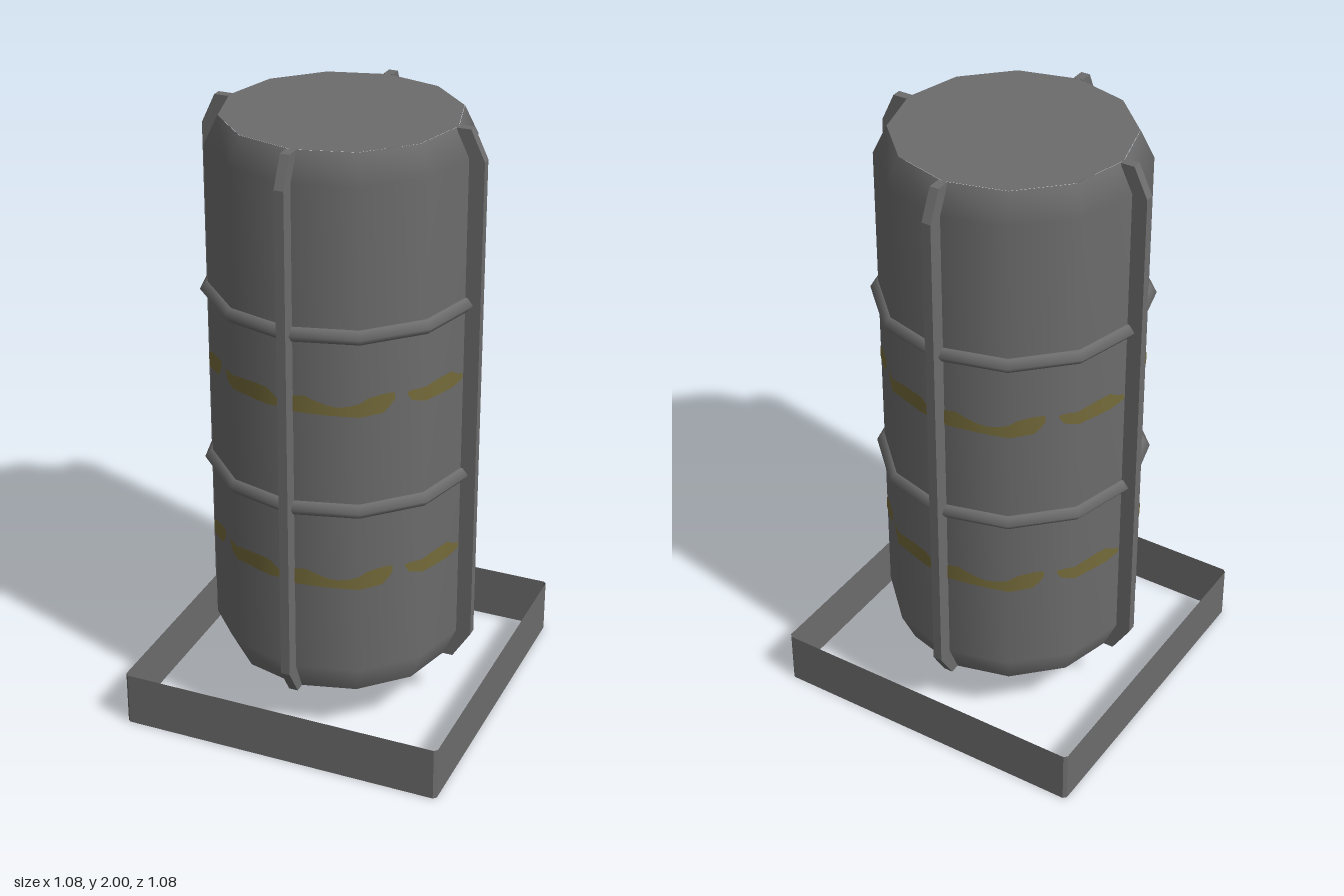
import * as THREE from 'three';

const SIDES = 12, BODY_R = 0.415;

// Distance from the axis to the wall of the twelve-sided drum
function wallRadius(deg) {
  const step = 360 / SIDES;
  const a = (((deg % step) + step) % step) - step / 2;
  return BODY_R * Math.cos(Math.PI / SIDES) / Math.cos(THREE.MathUtils.degToRad(a));
}

// Thin worn paint strip; columns are [angle in degrees, bottom, top]
function paintStrip(columns) {
  const pos = [], nor = [], index = [];
  columns.forEach(([deg, lo, hi], i) => {
    const a = THREE.MathUtils.degToRad(deg), r = wallRadius(deg) + 0.002;
    const s = Math.sin(a), c = Math.cos(a);
    for (const y of [lo, hi]) {
      pos.push(s * r, y, c * r);
      nor.push(s, 0, c);
    }
    if (i) {
      const b = 2 * i - 2;
      index.push(b, b + 2, b + 1, b + 1, b + 2, b + 3);
    }
  });
  const g = new THREE.BufferGeometry();
  g.setAttribute('position', new THREE.Float32BufferAttribute(pos, 3));
  g.setAttribute('normal', new THREE.Float32BufferAttribute(nor, 3));
  g.setIndex(index);
  return g;
}

export function createModel() {
  const metal = new THREE.MeshStandardMaterial({ name: 'greyMetal', color: 0x6c6c6c });
  const sheet = new THREE.MeshStandardMaterial({ name: 'greySheet', color: 0x6c6c6c, side: THREE.DoubleSide });
  const paint = new THREE.MeshStandardMaterial({ name: 'wornYellow', color: 0x746a3a });

  const model = new THREE.Group();
  model.name = 'barrelOnFrame';
  const barrel = new THREE.Group();
  barrel.name = 'barrel';
  barrel.position.set(-0.003, 0, 0.003);
  model.add(barrel);
  const add = (parent, name, geometry, material) => {
    const mesh = new THREE.Mesh(geometry, material);
    mesh.name = name;
    parent.add(mesh);
    return mesh;
  };
  const v = (x, y) => new THREE.Vector2(x, y);

  // Drum wall with softened ends, then flat lids
  add(barrel, 'drumWall', new THREE.LatheGeometry(
    [v(0.37, 0.18), v(BODY_R, 0.28), v(BODY_R, 1.91), v(0.372, 2)], SIDES), metal);
  for (const [name, y, turn] of [['topLid', 2, -1], ['bottomLid', 0.18, 1]]) {
    const lid = new THREE.CircleGeometry(0.371, SIDES);
    lid.rotateX(turn * Math.PI / 2);
    add(barrel, name, lid, metal).position.y = y;
  }

  // Two pointed hoops
  for (const y of [0.86, 1.443]) {
    const hoop = new THREE.LatheGeometry(
      [v(0.41, -0.024), v(0.422, -0.022), v(0.44, 0), v(0.422, 0.022), v(0.41, 0.024)], SIDES);
    add(barrel, 'hoop', hoop, metal).position.y = y;
  }

  // Four upright ribs with slanted ends
  const profile = new THREE.Shape([
    v(0.35, 0.18), v(0.4, 0.18), v(0.46, 0.275), v(0.46, 1.905),
    v(0.415, 2), v(0.37, 2), v(0.4, 1.9), v(0.4, 0.28)]);
  const ribGeometry = new THREE.ExtrudeGeometry(profile, { depth: 0.03, bevelEnabled: false });
  ribGeometry.translate(0, 0, -0.015);
  for (let k = 0; k < 4; k++) {
    add(barrel, 'rib', ribGeometry, metal).rotation.y = k * Math.PI / 2;
  }

  // Two bands of worn paint, the same pattern on every quarter
  const patches = [
    [[1, 0.01, 0.062], [7, 0.006, 0.064], [11, 0.004, 0.05], [16, 0.002, 0.036],
      [21, 0.001, 0.03], [26, 0.001, 0.036], [30, 0.001, 0.046], [34, 0.001, 0.06],
      [41, 0.004, 0.066], [44, 0.024, 0.066], [46, 0.042, 0.064]],
    [[52, 0.05, 0.058], [54, 0.028, 0.062], [60, 0.018, 0.064], [66, 0.014, 0.066],
      [73, 0.01, 0.066], [79, 0.008, 0.064], [83, 0.012, 0.046], [87, 0.018, 0.036]],
  ];
  for (const y of [0.58, 1.18]) {
    for (const patch of patches) {
      const geometry = paintStrip(patch);
      for (let k = 0; k < 4; k++) {
        const mesh = add(barrel, 'paintPatch', geometry, paint);
        mesh.position.y = y;
        mesh.rotation.y = k * Math.PI / 2;
      }
    }
  }

  // Open square frame of thin sheet with clipped corners
  const h = 0.54, c = 0.53;
  const corners = [[c, h], [h, c], [h, -c], [c, -h], [-c, -h], [-h, -c], [-h, c], [-c, h]];
  const frame = new THREE.Group();
  frame.name = 'baseFrame';
  model.add(frame);
  corners.forEach(([x0, z0], i) => {
    const [x1, z1] = corners[(i + 1) % corners.length];
    const wall = add(frame, 'frameWall',
      new THREE.PlaneGeometry(Math.hypot(x1 - x0, z1 - z0), 0.18), sheet);
    wall.position.set((x0 + x1) / 2, 0.09, (z0 + z1) / 2);
    wall.rotation.y = Math.atan2(x0 + x1, z0 + z1);
    // Side walls face straight out, clipped corners face diagonally
  });
  return model;
}
